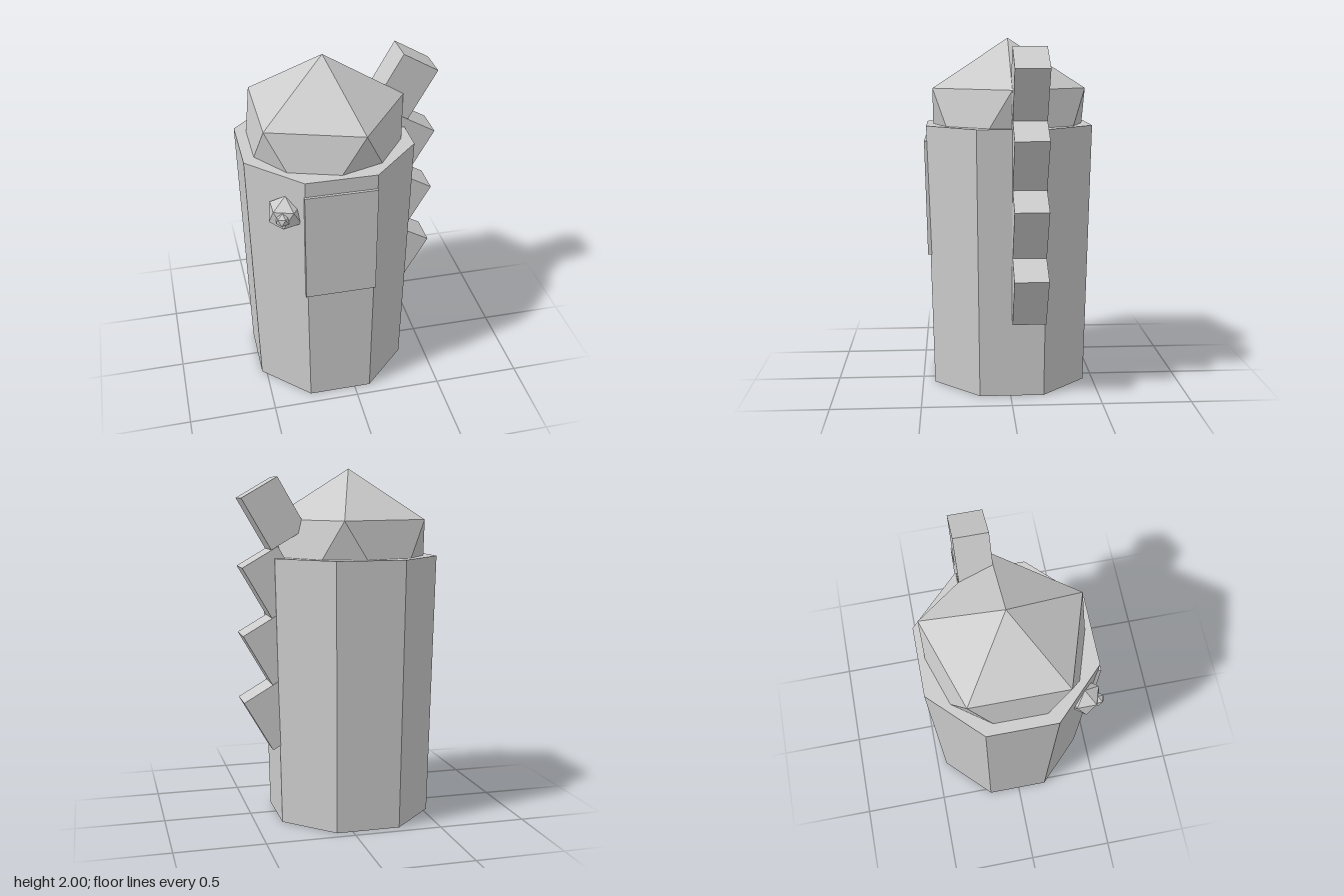
import * as THREE from 'three';

export function createModel() {
  const model = new THREE.Group();
  const grey = new THREE.MeshStandardMaterial({ color: 0xcccccc, flatShading: true });
  grey.name = 'light grey';

  const CX = -0.09, CZ = -0.007; // axis of the body

  const add = (name, geometry, x, y, z) => {
    const mesh = new THREE.Mesh(geometry, grey);
    mesh.name = name;
    mesh.position.set(x, y, z);
    model.add(mesh);
    return mesh;
  };

  // Icosahedron standing on a corner, with one upper ring corner towards +x
  const gem = (radius) =>
    new THREE.IcosahedronGeometry(radius, 0).rotateZ(-Math.atan(2 / (1 + Math.sqrt(5))));

  // Eight-sided body, slightly wider at the top
  const bodyHeight = 1.51, topApothem = 0.47, bottomApothem = 0.4375;
  const toRadius = 1 / Math.cos(Math.PI / 8);
  const body = new THREE.CylinderGeometry(
    topApothem * toRadius, bottomApothem * toRadius, bodyHeight, 8, 1);
  body.rotateY(Math.PI / 8);
  add('body', body, CX, bodyHeight / 2, CZ);

  // Faceted head sunk into the body
  add('head', gem(0.509), CX, 1.491, CZ);

  // Front panel leaning with the body wall
  const panel = add('frontPanel', new THREE.BoxGeometry(0.395, 0.655, 0.03), -0.0925, 1.0975, 0.454);
  panel.rotation.x = Math.atan((topApothem - bottomApothem) / bodyHeight);

  // Knob with a small tip on the front right corner
  add('knob', gem(0.103), -0.374, 1.287, 0.37);
  add('knobTip', gem(0.04), -0.403, 1.29, 0.441);

  // Row of tilted spikes up the left side
  for (let i = 0; i < 4; i++) {
    const spike = add('spike' + (i + 1), new THREE.BoxGeometry(0.23, 0.324, 0.188),
      0.379, 0.627 + i * 0.376, -0.101);
    spike.rotation.z = -Math.PI / 6;
  }

  return model;
}
